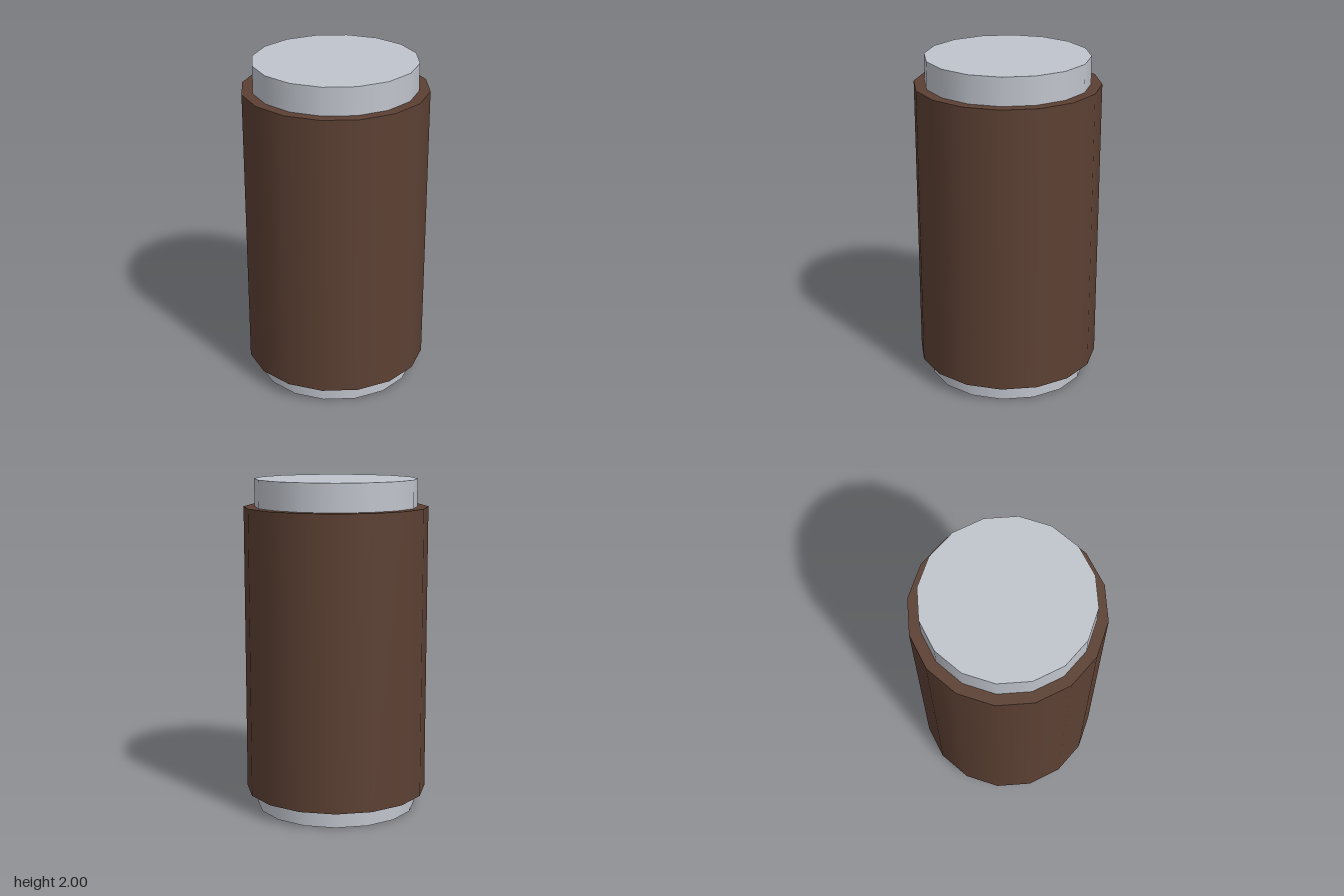
import * as THREE from 'three';

const SIDES = 16;

// Upright closed cylinder spanning y = bottom..top
function addCylinder(group, name, radius, bottom, top, material) {
  const geometry = new THREE.CylinderGeometry(radius, radius, top - bottom, SIDES);
  const mesh = new THREE.Mesh(geometry, material);
  mesh.name = name;
  mesh.position.y = (bottom + top) / 2;
  group.add(mesh);
}

export function createModel() {
  const metal = new THREE.MeshStandardMaterial({ color: 0xc0c4cc });
  metal.name = 'light metal';
  const brown = new THREE.MeshStandardMaterial({ color: 0x5c4033 });
  brown.name = 'brown';

  const model = new THREE.Group();
  model.name = 'canister';

  // Metal core showing at both ends
  addCylinder(model, 'core', 0.485, 0, 2, metal);
  // Wider sleeve wrapped round the core
  addCylinder(model, 'sleeve', 0.55, 0.105, 1.835, brown);

  return model;
}
